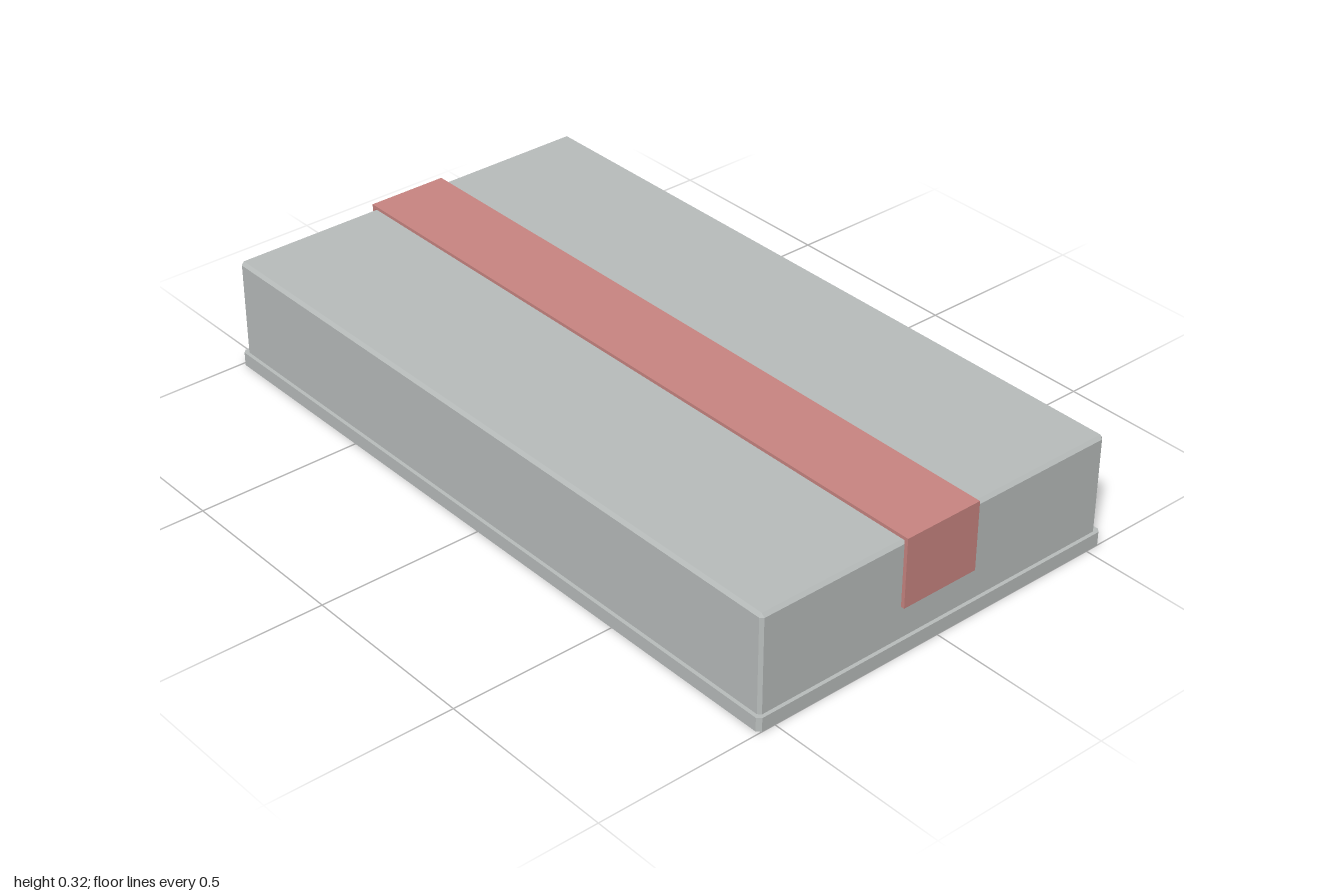
import * as THREE from 'three';

// Rectangular ring with its four corners cut off, counter-clockwise from above
function ring([hx, hz, y, cut]) {
  return [
    [hx - cut, hz], [hx, hz - cut], [hx, cut - hz], [hx - cut, -hz],
    [cut - hx, -hz], [-hx, cut - hz], [-hx, hz - cut], [cut - hx, hz],
  ].map(([x, z]) => new THREE.Vector3(x, y, z));
}

// Flat-faced skin through a chain of rings, closed at both ends
function loft(sections) {
  const rings = sections.map(ring);
  const points = [];
  const tri = (a, b, c) => {
    if (new THREE.Triangle(a, b, c).getArea() > 1e-8) points.push(a, b, c);
  };
  for (let r = 0; r < rings.length - 1; r++) {
    const a = rings[r], b = rings[r + 1];
    for (let i = 0; i < 8; i++) {
      const j = (i + 1) % 8;
      tri(a[i], a[j], b[j]);
      tri(a[i], b[j], b[i]);
    }
  }
  const first = rings[0], last = rings[rings.length - 1];
  for (let i = 1; i < 7; i++) {
    tri(first[0], first[i + 1], first[i]);
    tri(last[0], last[i], last[i + 1]);
  }
  const geometry = new THREE.BufferGeometry().setFromPoints(points);
  geometry.computeVertexNormals();
  return geometry;
}

export function createModel() {
  const model = new THREE.Group();
  model.name = 'boxLid';

  const grey = new THREE.MeshStandardMaterial({ color: 0xbabebd });
  grey.name = 'grey card';
  const red = new THREE.MeshStandardMaterial({ color: 0xca8682 });
  red.name = 'dusty red tape';

  // Hollow lid, open below: ceiling, inner walls, rim, outer walls, bevelled top
  const lid = new THREE.Mesh(loft([
    [0.98, 0.528, 0.299, 0],
    [0.98, 0.528, 0, 0],
    [1.0, 0.548, 0, 0.01],
    [1.0, 0.548, 0.038, 0.01],
    [0.99, 0.538, 0.038, 0.008],
    [0.99, 0.538, 0.299, 0.008],
    [0.982, 0.531, 0.309, 0],
  ]), grey);
  lid.name = 'lid';
  model.add(lid);

  // Band over the top, folded down at both ends
  const profile = new THREE.Shape([
    [-1, 0.127], [-0.99, 0.127], [-0.99, 0.309], [0.99, 0.309],
    [0.99, 0.127], [1, 0.127], [1, 0.318], [-1, 0.318],
  ].map(([x, y]) => new THREE.Vector2(x, y)));
  const width = 0.226;
  const tapeGeometry = new THREE.ExtrudeGeometry(profile, { depth: width, bevelEnabled: false });
  tapeGeometry.translate(0, 0, -width / 2);
  const tape = new THREE.Mesh(tapeGeometry, red);
  tape.name = 'tape';
  model.add(tape);

  return model;
}
